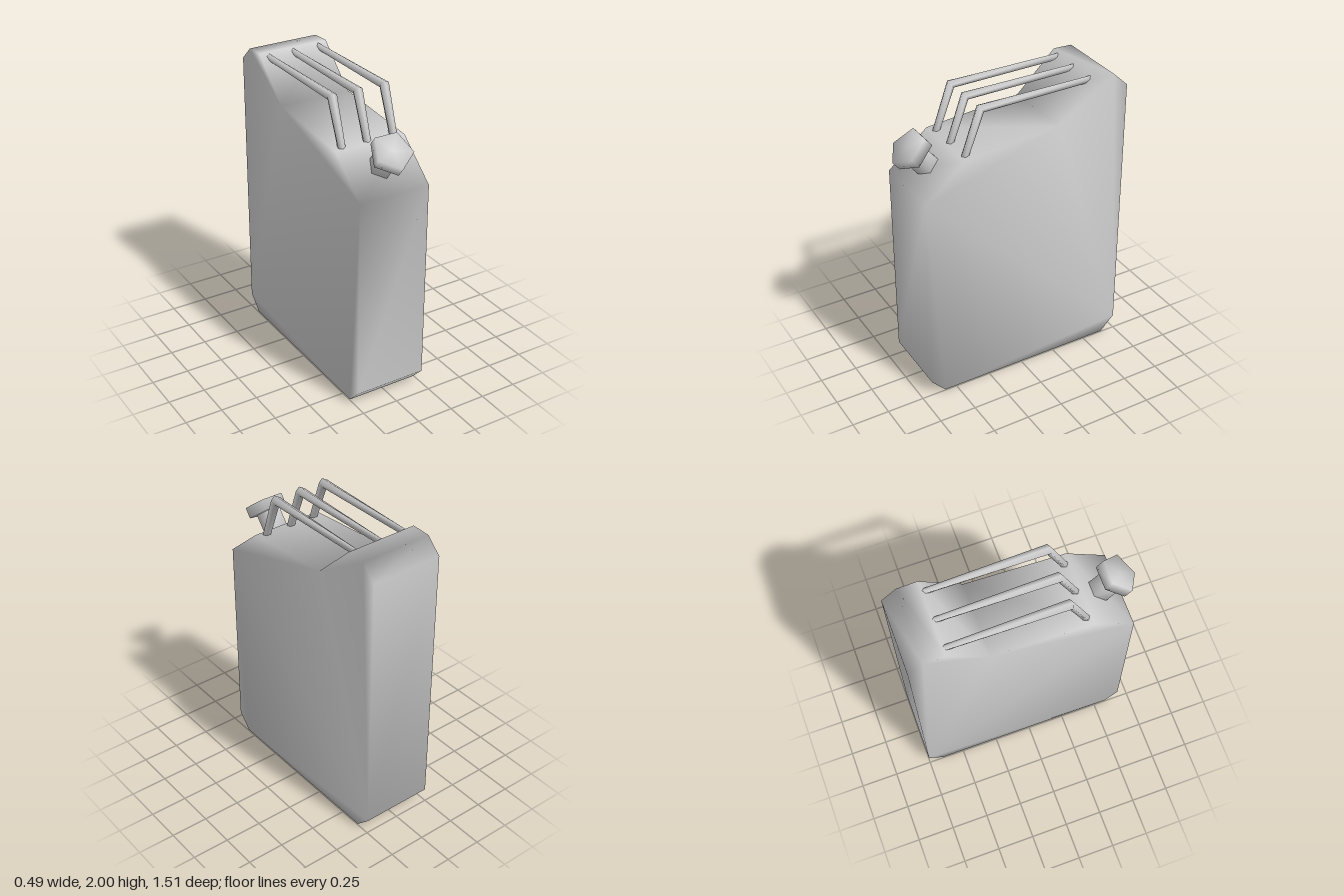
import * as THREE from 'three';
import { mergeVertices } from 'three/addons/utils/BufferGeometryUtils.js';

const material = new THREE.MeshStandardMaterial({ color: 0xcccccc });

// Weld all corners so the shading runs smoothly over the edges
function smooth(geometry) {
  geometry.deleteAttribute('normal');
  geometry.deleteAttribute('uv');
  const welded = mergeVertices(geometry, 1e-4);
  welded.computeVertexNormals();
  return welded;
}

function part(name, geometry) {
  const mesh = new THREE.Mesh(geometry, material);
  mesh.name = name;
  return mesh;
}

// Handle bar: pentagon sections, ridge outwards, from foot to elbow to rear end
function handleGeometry() {
  // outer z, y, inner z, y, half width
  const sections = [
    [0.4, 1.67, 0.355, 1.67, 0.025],
    [0.277, 2.0, 0.248, 1.955, 0.033],
    [-0.53, 1.995, -0.53, 1.955, 0.017],
  ];
  // across, depth from outer to inner
  const pentagon = [[0, 0], [1, 0.38], [0.62, 1], [-0.62, 1], [-1, 0.38]];
  const positions = [];
  const index = [];
  for (const [oz, oy, iz, iy, w] of sections) {
    for (const [a, t] of pentagon) {
      positions.push(a * w, oy + (iy - oy) * t, oz + (iz - oz) * t);
    }
  }
  for (let s = 0; s < sections.length - 1; s++) {
    for (let i = 0; i < 5; i++) {
      const a = s * 5 + i;
      const b = s * 5 + ((i + 1) % 5);
      index.push(a, b, a + 5, b, b + 5, a + 5);
    }
  }
  // End caps
  for (let i = 1; i < 4; i++) {
    index.push(0, i + 1, i, 10, 10 + i, 11 + i);
  }
  const geometry = new THREE.BufferGeometry();
  geometry.setAttribute('position', new THREE.Float32BufferAttribute(positions, 3));
  geometry.setIndex(index);
  geometry.computeVertexNormals();
  return geometry;
}

export function createModel() {
  const group = new THREE.Group();
  group.name = 'fuelCan';

  // Body: side profile (z, y) extruded across the width
  const profile = [
    [0.58, 0], [0.675, 0.1], [0.675, 1.455], [0.405, 1.685], [-0.25, 1.742],
    [-0.52, 2], [-0.65, 1.995], [-0.75, 1.9], [-0.75, 0.1], [-0.65, 0],
  ].map(([z, y]) => new THREE.Vector2(z, y));
  const width = 0.49;
  const bodyGeometry = new THREE.ExtrudeGeometry(new THREE.Shape(profile), {
    depth: width, bevelEnabled: false,
  });
  bodyGeometry.rotateY(-Math.PI / 2).translate(width / 2, 0, 0);
  group.add(part('body', smooth(bodyGeometry)));

  // Three parallel handles
  const handle = handleGeometry();
  [['rightHandle', -0.185], ['middleHandle', -0.005], ['leftHandle', 0.183]].forEach(([name, x]) => {
    const mesh = part(name, handle);
    mesh.position.x = x;
    group.add(mesh);
  });

  // Five-sided spout and lid, square to the front shoulder
  const spout = new THREE.Group();
  spout.name = 'spout';
  spout.position.set(-0.005, 1.581, 0.529);
  spout.rotation.x = 0.685;
  const neck = part('neck', smooth(new THREE.CylinderGeometry(0.082, 0.082, 0.17, 5)));
  neck.position.y = 0.07;
  const lid = part('lid', smooth(new THREE.CylinderGeometry(0.132, 0.132, 0.072, 5)));
  lid.position.y = 0.166;
  spout.add(neck, lid);
  group.add(spout);

  return group;
}
